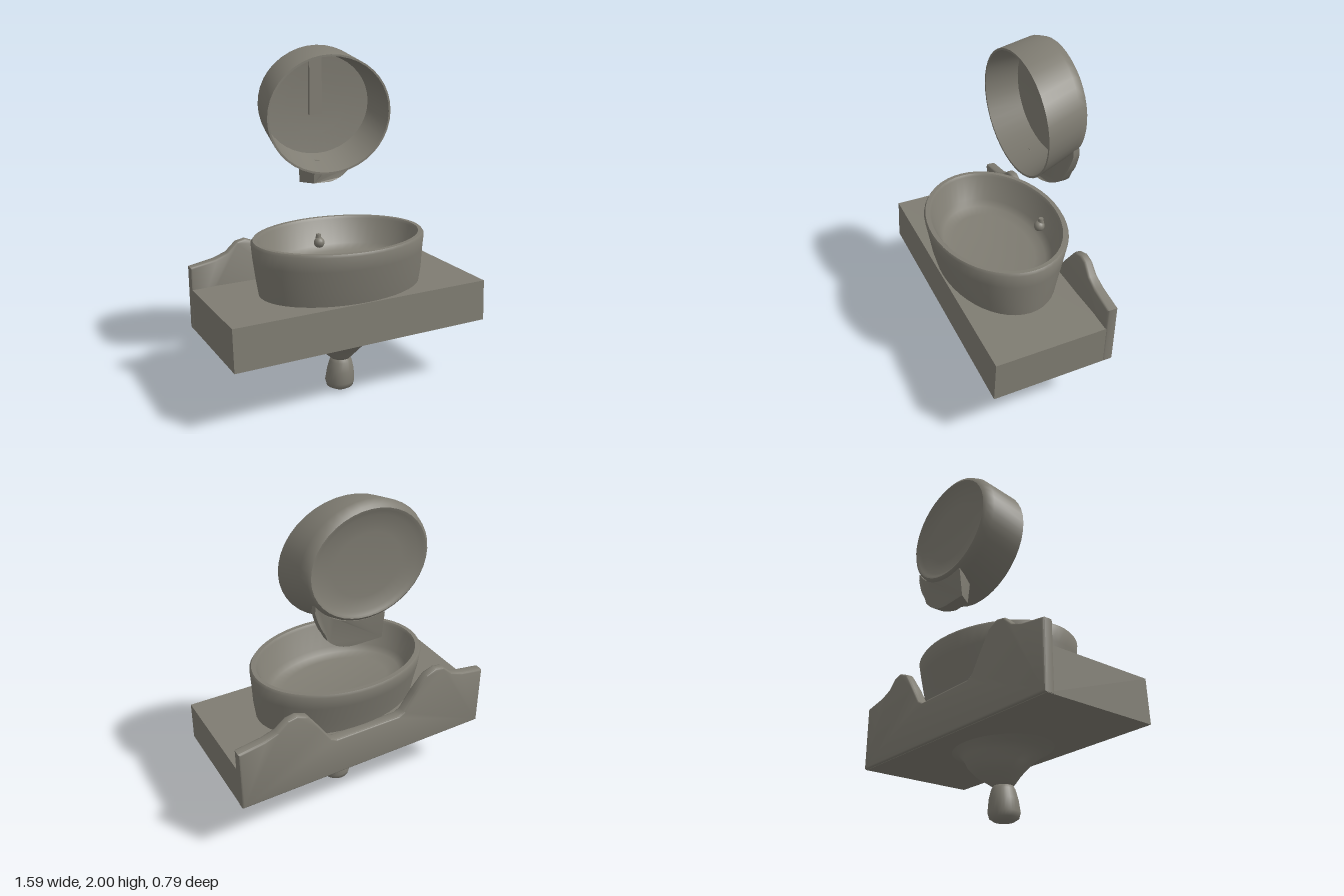
import * as THREE from 'three';
import { toCreasedNormals } from 'three/addons/utils/BufferGeometryUtils.js';

// Skin of elliptical sections [y, centreX, centreZ, radiusX, radiusZ]
function loft(sections, crease = 0.7, n = 40) {
  const pos = [], index = [];
  for (const [y, cx, cz, rx, rz] of sections) {
    for (let j = 0; j < n; j++) {
      const t = (j / n) * Math.PI * 2;
      pos.push(cx + rx * Math.cos(t), y, cz + rz * Math.sin(t));
    }
  }
  for (let i = 0; i < sections.length - 1; i++) {
    for (let j = 0; j < n; j++) {
      const a = i * n + j, b = i * n + (j + 1) % n;
      index.push(a, a + n, b, b, a + n, b + n);
    }
  }
  const g = new THREE.BufferGeometry();
  g.setAttribute('position', new THREE.Float32BufferAttribute(pos, 3));
  g.setIndex(index);
  return toCreasedNormals(g, crease);
}

// Move every vertex by a rule
function reshape(geometry, rule) {
  const p = geometry.attributes.position;
  const v = new THREE.Vector3();
  for (let i = 0; i < p.count; i++) {
    rule(v.fromBufferAttribute(p, i));
    p.setXYZ(i, v.x, v.y, v.z);
  }
  geometry.computeVertexNormals();
  return geometry;
}

export function createModel() {
  const group = new THREE.Group();
  const stone = new THREE.MeshStandardMaterial({ color: 0x7f7c72 });
  stone.name = 'warm grey';
  const add = (name, geometry, x = 0, y = 0, z = 0) => {
    const m = new THREE.Mesh(geometry, stone);
    m.name = name;
    m.position.set(x, y, z);
    group.add(m);
    return m;
  };

  // Counter slab, its front leaning back and slightly out of square
  const slab = reshape(new THREE.BoxGeometry(1.585, 0.245, 0.69), (v) => {
    if (v.z > 0) v.z = (v.y > 0 ? 0.348 : 0.36) + (v.x > 0 ? 0.007 : -0.01);
  });
  add('counter', slab, -0.003, 0.518, 0);

  // Back panel with two raised shoulders, thinner at the peaks, and a gap behind the basin
  const half = [[0.785, 0.765], [0.64, 0.79], [0.56, 0.82], [0.5, 0.875], [0.45, 0.885],
    [0.39, 0.86], [0.32, 0.76], [0.25, 0.655], [0.21, 0.633]];
  const outline = [[-0.785, 0.408], [0.785, 0.408], ...half,
    ...half.slice().reverse().map(([x, y]) => [-x, y])];
  const panel = reshape(new THREE.ExtrudeGeometry(
    new THREE.Shape(outline.map(([x, y]) => new THREE.Vector2(x, y))),
    { depth: 0.04, bevelThickness: 0.012, bevelSize: 0.01, bevelSegments: 2 }),
  (v) => { if (v.z > 0.02) v.z -= Math.max(0, v.y - 0.76) * 0.12; });
  add('backsplash', toCreasedNormals(panel, 0.8), -0.003, 0, -0.35);

  // Oval basin, outside then rim then inside
  add('basin', loft([
    [0.625, 0.005, 0.012, 0.5, 0.322],
    [0.72, 0.003, 0.012, 0.512, 0.345],
    [0.85, 0, 0.003, 0.521, 0.375],
    [0.935, 0, 0, 0.526, 0.393],
    [0.95, 0, 0, 0.515, 0.385],
    [0.95, 0, 0, 0.492, 0.36],
    [0.935, 0, 0, 0.482, 0.35],
    [0.79, 0, 0.005, 0.445, 0.305],
    [0.758, 0, 0.01, 0.41, 0.275],
    [0.745, 0, 0.01, 0.33, 0.22],
    [0.74, 0, 0.01, 0, 0],
  ], 0.9, 48));

  // Small knob on the inner back wall
  add('basinKnob', new THREE.SphereGeometry(0.033, 16, 12), 0.015, 0.815, -0.285);
  add('basinKnobStem', new THREE.CylinderGeometry(0.014, 0.02, 0.04, 12), 0.015, 0.847, -0.295);

  // Drain funnel and rounded plug beneath
  add('drainFunnel', loft([
    [0.185, -0.01, 0.035, 0, 0],
    [0.195, -0.01, 0.035, 0.06, 0.06],
    [0.215, -0.007, 0.03, 0.085, 0.08],
    [0.25, -0.003, 0.015, 0.13, 0.118],
    [0.3, 0, 0.015, 0.178, 0.163],
    [0.345, 0, 0.027, 0.205, 0.2],
    [0.375, 0, 0.037, 0.25, 0.228],
    [0.4, 0, 0.045, 0.33, 0.262],
  ], 1.2));
  add('drainPlug', loft([
    [0, -0.015, 0.04, 0, 0],
    [0.004, -0.015, 0.04, 0.055, 0.055],
    [0.02, -0.016, 0.04, 0.08, 0.08],
    [0.05, -0.016, 0.04, 0.088, 0.088],
    [0.12, -0.012, 0.04, 0.08, 0.08],
    [0.175, -0.01, 0.04, 0.066, 0.066],
    [0.2, -0.01, 0.04, 0.05, 0.05],
    [0.21, -0.01, 0.04, 0, 0],
  ], 1.3, 28));

  // Floating mirror: shallow dished back, narrow lip, deep front rim, nearly flat face
  const mirror = add('mirrorShell', loft([
    [-0.326, 0.01, -1.65, 0, 0],
    [-0.329, 0.01, -1.66, 0.2, 0.175],
    [-0.338, 0.01, -1.668, 0.295, 0.26],
    [-0.351, 0.01, -1.672, 0.32, 0.282],
    [-0.356, 0.01, -1.674, 0.337, 0.296],
    [-0.345, 0.01, -1.675, 0.352, 0.312],
    [-0.3, 0.01, -1.675, 0.368, 0.325],
    [-0.112, 0.01, -1.617, 0.395, 0.34],
    [-0.112, 0.01, -1.617, 0.383, 0.329],
    [-0.295, 0.01, -1.66, 0.344, 0.29],
    [-0.306, 0.01, -1.655, 0.2, 0.17],
    [-0.309, 0.01, -1.65, 0, 0],
  ], 0.8));
  mirror.rotation.x = Math.PI / 2;

  // Upright bar on the mirror face
  add('mirrorBar', new THREE.BoxGeometry(0.08, 0.335, 0.035), 0, 1.768, -0.305);

  // Curved bracket sweeping from the mirror's left side down to a foot, flush at the back
  // and thinning away from the foot
  const bracket = new THREE.Shape();
  bracket.moveTo(-0.095, 1.2);
  bracket.lineTo(0.07, 1.2);
  bracket.quadraticCurveTo(0.26, 1.21, 0.32, 1.45);
  for (let i = 0; i <= 12; i++) {
    const t = -0.55 - i * 0.108;
    bracket.lineTo(0.01 + 0.36 * Math.cos(t), 1.658 + 0.322 * Math.sin(t));
  }
  bracket.lineTo(-0.095, 1.346);
  const bracketGeo = reshape(new THREE.ExtrudeGeometry(bracket,
    { depth: 1, bevelEnabled: false, curveSegments: 14 }), (v) => {
    const rise = Math.min(1, (v.y - 1.2) / 0.14);
    if (v.z > 0.5) {
      v.z = -0.24 + 0.015 * rise - 0.32 * Math.max(0, v.x - 0.07);
      if (v.x < 0) v.x += 0.055;
    } else {
      v.z = -0.32 - 0.022 * rise;
    }
    if (v.y > 1.3) v.y -= (v.z + 0.24) * 0.22;
  });
  add('mirrorBracket', toCreasedNormals(bracketGeo, 0.7));

  return group;
}
